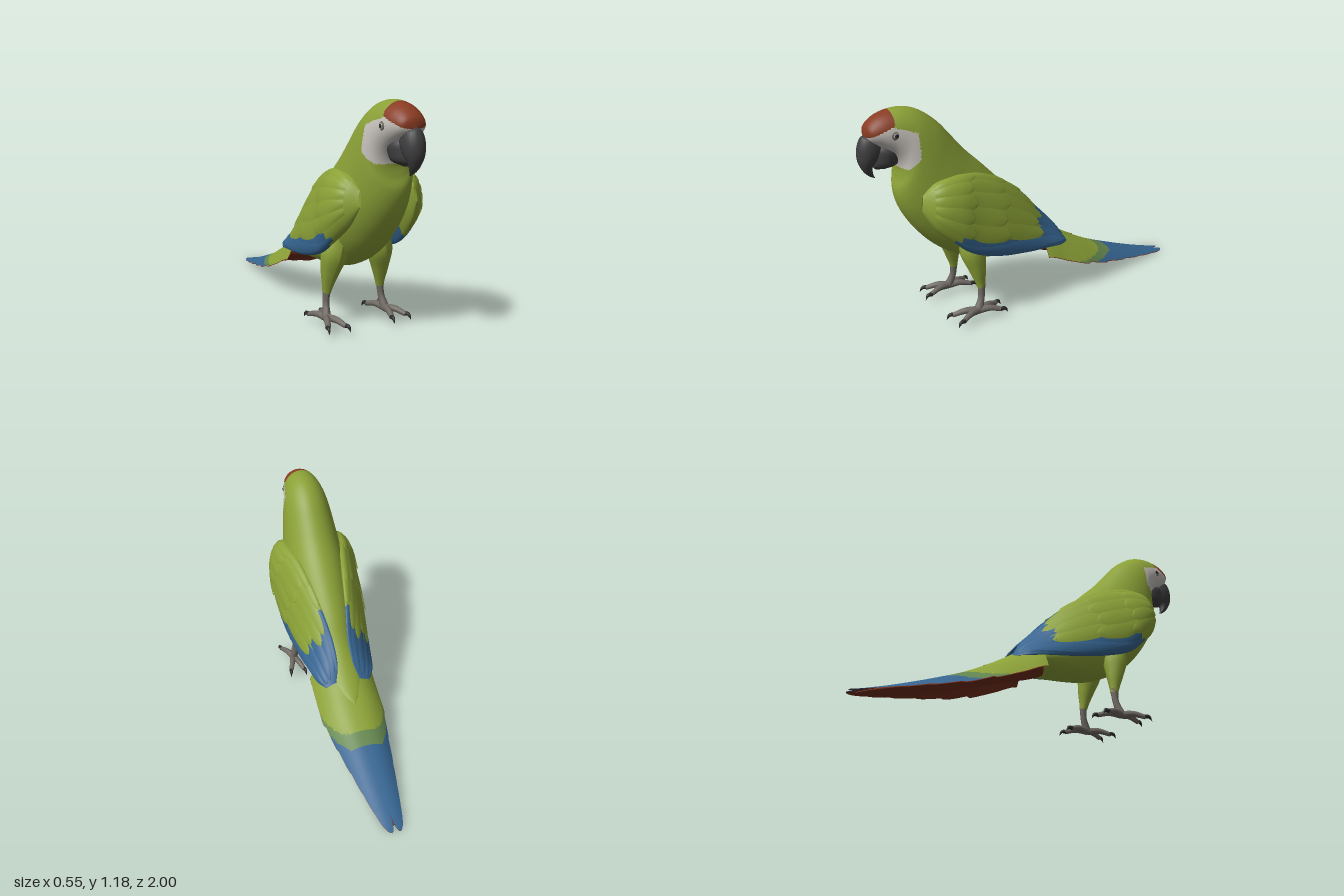
import * as THREE from 'three';
import { mergeVertices } from 'three/addons/utils/BufferGeometryUtils.js';

const mat = (name, color, side = THREE.FrontSide) => {
  const m = new THREE.MeshStandardMaterial({ color, side });
  m.name = name;
  return m;
};

// Uniform Catmull-Rom blend of a table of cross-section rows
function sample(rows, u) {
  const n = rows.length - 1, f = Math.min(u, 1) * n, k = Math.min(Math.floor(f), n - 1), t = f - k;
  const row = i => rows[Math.max(0, Math.min(n, i))];
  return rows[0].map((_, c) => {
    const a = row(k - 1)[c], b = row(k)[c], d = row(k + 1)[c], e = row(k + 2)[c];
    return b + 0.5 * t * (d - a + t * (2 * a - 5 * b + 4 * d - e + t * (3 * (b - d) + e - a)));
  });
}

// Surface from fn(u, v); pick(x, y, z) gives a material index per triangle; side -1 mirrors it
function grid(name, fn, nu, nv, mats, pick = () => 0, side = 1) {
  const pos = [], faces = mats.map(() => []);
  for (let i = 0; i <= nu; i++) for (let j = 0; j <= nv; j++) {
    const [x, y, z] = fn(i / nu, j / nv);
    pos.push(x * side, y, z);
  }
  const mid = (t, c) => (pos[t[0] * 3 + c] + pos[t[1] * 3 + c] + pos[t[2] * 3 + c]) / 3;
  for (let i = 0; i < nu; i++) for (let j = 0; j < nv; j++) {
    const a = i * (nv + 1) + j, b = a + 1, c = a + nv + 1, d = c + 1;
    for (const t of [[a, b, c], [b, d, c]]) {
      if (side < 0) t.reverse();
      faces[pick(mid(t, 0), mid(t, 1), mid(t, 2))].push(...t);
    }
  }
  let g = new THREE.BufferGeometry();
  g.setAttribute('position', new THREE.Float32BufferAttribute(pos, 3));
  g.setIndex(faces.flat());
  g = mergeVertices(g, 1e-5);
  g.computeVertexNormals();
  let start = 0;
  faces.forEach((f, k) => {
    if (f.length) g.addGroup(start, f.length, k);
    start += f.length;
  });
  const mesh = new THREE.Mesh(g, mats);
  mesh.name = name;
  return mesh;
}

// Symmetric loft, rows: back z, back y, front z, front y, half width
const loft = rows => (u, v) => {
  const [z1, y1, z2, y2, w] = sample(rows, u), c = Math.cos(v * 2 * Math.PI) / 2;
  return [w * Math.sin(v * 2 * Math.PI), (y1 + y2) / 2 + (y1 - y2) * c, (z1 + z2) / 2 + (z1 - z2) * c];
};

// Tube through points whose radius follows a list
function limb(name, pts, radii, material) {
  const curve = new THREE.CatmullRomCurve3(pts.map(p => new THREE.Vector3(...p)));
  const nu = 16, nv = 12, g = new THREE.TubeGeometry(curve, nu, 1, nv);
  const p = g.attributes.position, v = new THREE.Vector3();
  for (let i = 0; i < p.count; i++) {
    const t = Math.floor(i / (nv + 1)) / nu, c = curve.getPointAt(t);
    v.fromBufferAttribute(p, i).sub(c).multiplyScalar(sample(radii.map(r => [r]), t)[0]).add(c);
    p.setXYZ(i, v.x, v.y, v.z);
  }
  g.computeVertexNormals();
  const mesh = new THREE.Mesh(g, material);
  mesh.name = name;
  return mesh;
}

const BODY = [
  [.96, 1.07, .96, 1.06, 0], [.95, 1.12, .93, 1.03, .062], [.90, 1.163, .865, .985, .092], [.83, 1.187, .818, .94, .108],
  [.75, 1.19, .80, .888, .121], [.67, 1.165, .805, .83, .135], [.58, 1.10, .82, .77, .148], [.50, 1.01, .81, .70, .16],
  [.42, .92, .775, .62, .172], [.33, .835, .71, .525, .18], [.22, .725, .62, .43, .176], [.1, .595, .5, .35, .16],
  [0, .475, .33, .29, .14], [-.12, .375, .06, .275, .12], [-.24, .3, -.06, .275, .08], [-.3, .272, -.2, .268, 0]];
const UPPER_BEAK = [
  [.90, 1.065, .96, 1.075, 0], [.87, 1.05, .978, 1.06, .042], [.865, 1.0, .997, 1.01, .056],
  [.89, .955, .998, .95, .05], [.925, .915, .978, .9, .032], [.925, .875, .95, .868, .016], [.915, .85, .918, .85, 0]];
const LOWER_BEAK = [
  [.80, 1.03, .88, 1.05, 0], [.78, .985, .915, 1.01, .064], [.785, .94, .925, .955, .066],
  [.805, .908, .925, .915, .05], [.86, .888, .91, .893, 0]];
const UNDER_TAIL = [
  [.1, .32, .09, .29, 0], [0, .35, .02, .262, .1], [-.13, .32, -.12, .222, .13], [-.3, .24, -.3, .168, .125],
  [-.5, .165, -.5, .108, .098], [-.72, .085, -.72, .048, .07], [-.9, .03, -.9, .012, .04], [-.96, .012, -.96, .008, 0]];
// Wing rows: top edge x y z, bottom edge x y z, thickness
const WING = [
  [.15, .765, .735, .16, .69, .75, .01], [.16, .825, .665, .185, .585, .69, .065], [.15, .84, .55, .21, .5, .6, .078],
  [.13, .82, .42, .225, .42, .49, .066], [.1, .755, .27, .222, .37, .33, .06], [.07, .65, .12, .205, .34, .15, .045],
  [.045, .525, 0, .185, .325, 0, .03], [.045, .42, -.1, .165, .312, -.1, .02], [.07, .335, -.16, .13, .31, -.16, .005]];

// Point on the wing; v 0..1 is the outer side top to bottom, 1..2 the flatter inner side
function wingPoint(u, v, lift = 0) {
  const [x1, y1, z1, x2, y2, z2, th] = sample(WING, u);
  const dx = x1 - x2, dy = y1 - y2, len = Math.hypot(dx, dy) || 1;
  const c = Math.cos(v * Math.PI) * (0.5 + lift / len);
  const s = Math.sin(v * Math.PI) * (v <= 1 ? th + lift : th * 0.4);
  return [(x1 + x2) / 2 + dx * c + dy / len * s, (y1 + y2) / 2 + dy * c - dx / len * s, (z1 + z2) / 2 + (z1 - z2) * c];
}

export function createModel() {
  const D = THREE.DoubleSide;
  const green = mat('leafGreen', 0x8ba137, D), blue = mat('flightBlue', 0x366591, D);
  const teal = mat('tailBlendGreen', 0x64864f, D), red = mat('foreheadRed', 0x893c22);
  const rust = mat('underTailRust', 0x702d1a, D), white = mat('facePale', 0xc4c0ba);
  const dark = mat('beakCharcoal', 0x3e3e40), grey = mat('legGrey', 0x6f6962), black = mat('clawBlack', 0x2c2b2b);
  const model = new THREE.Group();
  model.name = 'parrot';

  // Head and body in one skin, with red forehead and pale face
  model.add(grid('headAndBody', loft(BODY), 150, 88, [green, red, white], (x, y, z) => {
    if (z > .83 && y > 1.06 + (.97 - z) * .45 && Math.abs(x) < .095) return 1;
    return z > .725 + Math.max(0, .95 - y) && y > .895 && y < 1.075 + (z - .72) * .33 ? 2 : 0;
  }));
  model.add(grid('upperBeak', loft(UPPER_BEAK), 32, 24, [dark]));
  model.add(grid('lowerBeak', loft(LOWER_BEAK), 24, 24, [dark]));

  // Tail feathers on an arched fan, coloured above and rust below
  const tailTop = [[.42], [.345], [.27], [.2], [.145], [.095], [.05], [.015]];
  const tail = new THREE.Group();
  tail.name = 'tail';
  const tips = [-1, -.92, -.8, -.66, -.5, -.33];
  const tailWidth = z => Math.min(.182, .055 + .15 * Math.pow((z + 1) / .9, .75));
  for (const side of [1, -1]) tips.forEach((tip, i) => {
    const feather = drop => (u, v) => {
      const s = 1 - (1 - u) ** 1.6, z = s * tip;
      const q = .4 + .04 * i + .42 * (2 * v - 1) * Math.sqrt(Math.max(0, 1 - s ** 24));
      const y = sample(tailTop, -z)[0] - (.01 + .125 * (z + 1)) * Math.abs(q) ** 2.5;
      return [q * tailWidth(z), Math.max(.001, y - .003 * i - drop), z];
    };
    tail.add(grid('tailFeatherTop', feather(0), 60, 12, [green, teal, blue], (x, y, z) => {
      const edge = -.47 + .2 * (Math.abs(x) / tailWidth(z)) ** 6;
      return z > edge + .04 ? 0 : z > edge - .05 ? 1 : 2;
    }, side));
    tail.add(grid('tailFeatherUnder', feather(.004), 30, 8, [rust], undefined, side));
  });
  tail.add(grid('underTailCoverts', loft(UNDER_TAIL), 40, 24, [rust]));
  model.add(tail);

  for (const side of [1, -1]) {
    const label = side > 0 ? 'left' : 'right';
    const at = (x, y, z) => [x * side, y, z];

    // Eye: grey ring and dark pupil on a pale iris
    [[.022, .101, grey], [.015, .105, white], [.011, .108, black]].forEach(([r, x, m], k) => {
      const eye = new THREE.Mesh(new THREE.SphereGeometry(r, 20, 12), m);
      eye.name = ['eyeRing', 'iris', 'pupil'][k];
      eye.position.set(x * side, 1.075, .832);
      eye.scale.x = .35;
      model.add(eye);
    });

    // Folded wing with overlapping feather rows
    const wing = new THREE.Group();
    wing.name = label + 'Wing';
    wing.add(grid('wingBase', (u, v) => wingPoint(u, v * 2), 72, 64, [green, blue], (x, y, z) =>
      ((z < .57 && y < .41 + .23 * z) || z < (Math.abs(x) < .09 ? .12 : .02) ? 1 : 0), side));
    const feather = (name, m, u0, v0, len, dv, wid, lift) => wing.add(grid(name, (s, q) => {
      const shape = Math.sqrt(Math.max(0, 1 - s ** 5)) * (.55 + .45 * Math.min(1, s * 2));
      const v = v0 + dv * s + wid * shape * (2 * q - 1);
      return wingPoint(Math.min(1, u0 + len * s), Math.max(0, Math.min(1, v)), lift * (.35 + .65 * s) - .003 * (2 * q - 1) ** 2);
    }, 18, 8, [m], undefined, side));
    for (let i = 0; i < 6; i++) feather('primary', blue, .24 + .07 * i, .9 - .03 * i, .37, -.02, .09, .006 + .001 * i);
    for (let i = 0; i < 4; i++) feather('secondary', blue, .62, .1 + .17 * i, .3 + .02 * i, 0, .1, .006);
    for (let i = 0; i < 5; i++) feather('greaterCovert', green, .42, .1 + .125 * i, [.2, .3, .33, .28, .3][i], .01, .1, .011);
    for (let i = 0; i < 5; i++) feather('medianCovert', green, .24, .12 + .13 * i, .29 - .02 * (i % 2), 0, .09, .015);
    for (let i = 0; i < 5; i++) feather('lesserCovert', green, .09, .16 + .125 * i, .26 - .02 * (i % 2), 0, .085, .017);
    model.add(wing);

    // Leg: feathered thigh, shank, two toes forward and two back
    const leg = new THREE.Group();
    leg.name = label + 'Leg';
    leg.add(limb('thigh', [at(.115, .5, .48), at(.135, .4, .46), at(.152, .29, .44), at(.162, .185, .425)],
      [.05, .068, .047, .022], green));
    leg.add(limb('shank', [at(.162, .21, .425), at(.168, .13, .43), at(.178, .062, .455)], [.022, .018, .024], grey));
    for (const [x, z] of [[.232, .575], [.138, .59], [.222, .335], [.14, .325]]) {
      const mx = (x + .178) / 2, mz = (z + .455) / 2, out = Math.sign(z - .455);
      leg.add(limb('toe', [at(.178, .062, .455), at(mx, .068, mz), at(x, .052, z)], [.021, .017, .013], grey));
      leg.add(limb('claw', [at(x, .054, z - out * .008), at(x + (x - .178) * .12, .054, z + out * .018),
        at(x + (x - .178) * .2, .03, z + out * .034)], [.012, .009, .001], black));
    }
    model.add(leg);
  }
  return model;
}
